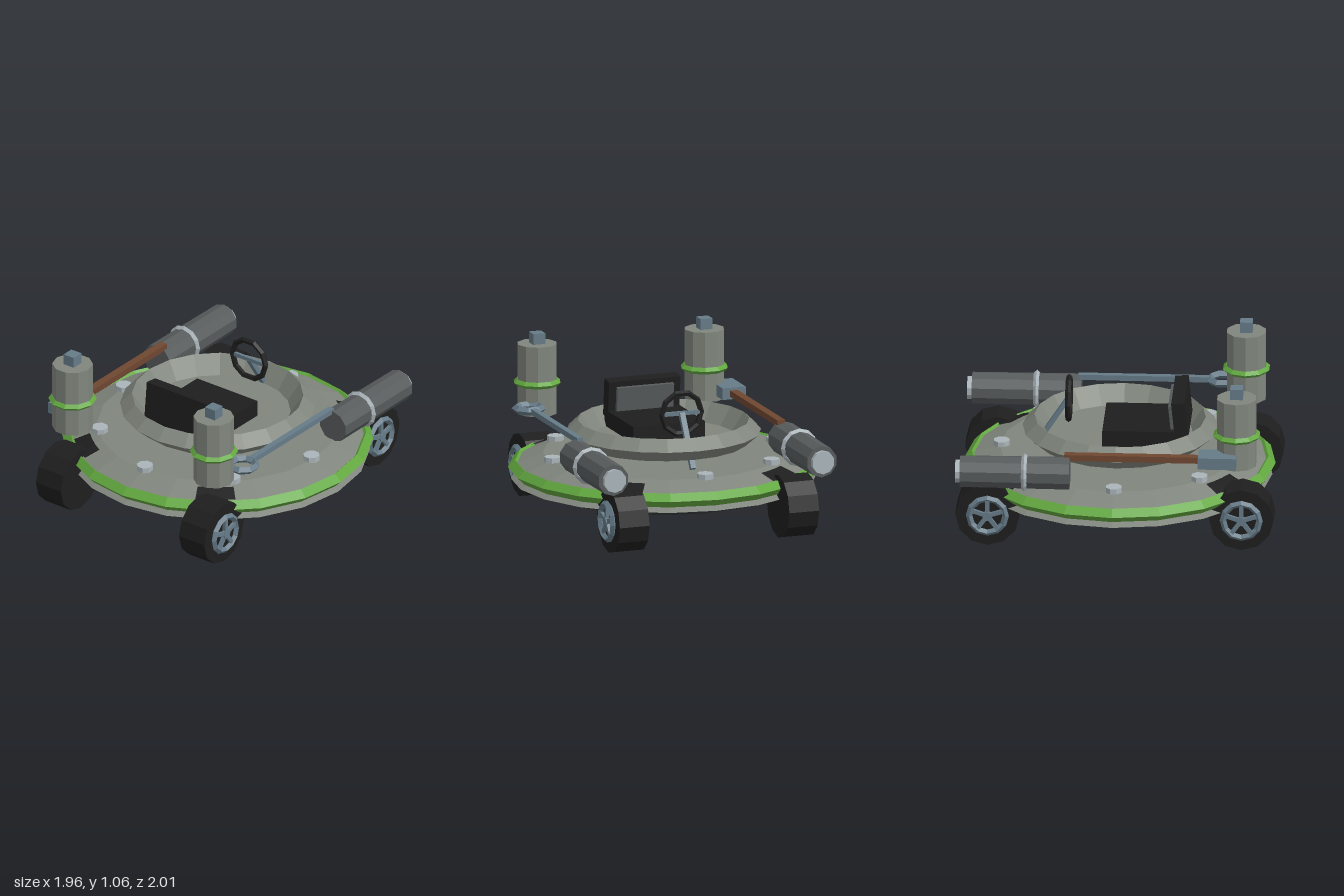
import * as THREE from 'three';

const mat = (name, color) => {
  const m = new THREE.MeshStandardMaterial({ color, flatShading: true });
  m.name = name;
  return m;
};

export function createModel() {
  const root = new THREE.Group();
  root.name = 'saucerBuggy';

  const bodyGrey = mat('bodyGrey', 0x80867d);
  const hullDark = mat('hullDark', 0x3b3f40);
  const green = mat('trimGreen', 0x62a83f);
  const black = mat('rubberBlack', 0x1e1e1e);
  const steel = mat('steelBlue', 0x667b88);
  const gunmetal = mat('gunmetal', 0x575b5c);
  const silver = mat('silver', 0xaab4b9);
  const wood = mat('woodBrown', 0x6f4730);

  const add = (name, geo, material, pos = [0, 0, 0], rot = [0, 0, 0], parent = root) => {
    const m = new THREE.Mesh(geo, material);
    m.name = name;
    m.position.set(...pos);
    m.rotation.set(...rot);
    parent.add(m);
    return m;
  };
  const box = (x, y, z) => new THREE.BoxGeometry(x, y, z);
  const lathe = (pts, start = 0, length = Math.PI * 2, segments = 20) =>
    new THREE.LatheGeometry(pts.map(([x, y]) => new THREE.Vector2(x, y)), segments, start, length);
  // ring with a diamond cross-section, lying flat
  const band = (r, tube, sides) =>
    new THREE.TorusGeometry(r, tube, 4, sides).rotateX(Math.PI / 2);

  // Saucer body
  add('hullUnderside', lathe([[0, 0.18], [0.73, 0.18], [0.96, 0.25]]), hullDark);
  add('saucerDeck', lathe([[0.96, 0.25], [0.9, 0.28], [0.92, 0.355], [0.76, 0.415], [0, 0.415]]), bodyGrey);
  add('rimBand', band(0.935, 0.045, 20), green, [0, 0.325, 0]);

  // Raised cockpit dish
  add('cockpitDish', lathe([
    [0, 0.48], [0.53, 0.48], [0.615, 0.555], [0.54, 0.627], [0.46, 0.51], [0, 0.51],
  ]), bodyGrey);

  // Deck bolts
  for (let i = 0; i < 8; i++) {
    const a = (i * Math.PI) / 4;
    add('deckBolt', new THREE.CylinderGeometry(0.053, 0.053, 0.035, 8), silver,
      [Math.sin(a) * 0.747, 0.428, Math.cos(a) * 0.747], [0, Math.PI / 8, 0]);
  }

  // Seat
  const seat = new THREE.Group();
  seat.name = 'seat';
  root.add(seat);
  add('seatCushion', box(0.48, 0.15, 0.52), black, [0, 0.54, 0.16], [0, 0, 0], seat);
  const back = new THREE.Group();
  back.name = 'seatBack';
  back.position.set(0, 0.69, 0.388);
  back.rotation.x = -0.1;
  seat.add(back);
  add('backrest', box(0.48, 0.24, 0.085), black, [0, 0, 0], [0, 0, 0], back);
  add('backrestPad', box(0.38, 0.17, 0.028), gunmetal, [0, 0, -0.054], [0, 0, 0], back);

  // Steering wheel and column
  const steering = new THREE.Group();
  steering.name = 'steering';
  root.add(steering);
  add('steeringWheel', new THREE.TorusGeometry(0.133, 0.019, 5, 10), black,
    [0, 0.737, -0.323], [0, 0, 0], steering);
  add('steeringSpoke', box(0.25, 0.025, 0.02), steel, [0, 0.737, -0.325], [0, 0, 0], steering);
  add('steeringColumn', box(0.035, 0.375, 0.03), steel,
    [0, 0.58, -0.428], [Math.atan2(0.2, 0.31), 0, 0], steering);

  // Wheels; hubs point outward
  for (const sx of [-1, 1]) for (const sz of [-1, 1]) {
    const wheel = new THREE.Group();
    wheel.name = sz > 0 ? 'frontWheel' : 'rearWheel';
    wheel.position.set(sx * 0.57, 0.203, sz * 0.8);
    wheel.rotation.y = sx > 0 ? 0 : Math.PI;
    root.add(wheel);
    add('tyre', new THREE.CylinderGeometry(0.203, 0.203, 0.2, 12).rotateZ(Math.PI / 2),
      black, [0, 0, 0], [0, 0, 0], wheel);
    add('hubRing', new THREE.TorusGeometry(0.115, 0.021, 4, 12).rotateY(Math.PI / 2),
      steel, [0.11, 0, 0], [0, 0, 0], wheel);
    add('hubCap', new THREE.CylinderGeometry(0.03, 0.03, 0.03, 8).rotateZ(Math.PI / 2),
      steel, [0.113, 0, 0], [0, 0, 0], wheel);
    for (let i = 0; i < 5; i++) {
      add('hubSpoke', box(0.022, 0.11, 0.026).translate(0, 0.055, 0), steel,
        [0.11, 0, 0], [(i * Math.PI * 2) / 5, 0, 0], wheel);
    }
    // dark wheel well let into the deck
    const mid = Math.atan2(sx * 0.6, sz * 0.8);
    add('wheelWell', lathe([[0.91, 0.367], [0.81, 0.404]], mid - 0.14, 0.28, 3), black);
  }

  // Upright canisters at the front, thrusters at the rear
  for (const sx of [-1, 1]) {
    const can = new THREE.Group();
    can.name = 'canister';
    can.position.set(sx * 0.562, 0, 0.765);
    root.add(can);
    add('canisterBody', new THREE.CylinderGeometry(0.128, 0.128, 0.45, 10), bodyGrey,
      [0, 0.765, 0], [0, Math.PI / 2, 0], can);
    add('canisterBand', band(0.131, 0.022, 10), green, [0, 0.742, 0], [0, 0, 0], can);
    add('canisterValve', box(0.08, 0.08, 0.08), steel, [0, 1.02, 0], [0, 0, 0], can);

    const thruster = new THREE.Group();
    thruster.name = 'thruster';
    thruster.position.set(sx * 0.7, 0.51, 0);
    root.add(thruster);
    add('thrusterBody', new THREE.CylinderGeometry(0.106, 0.102, 0.69, 10).rotateX(Math.PI / 2),
      gunmetal, [0, 0, -0.625], [0, 0, 0], thruster);
    add('thrusterBand', new THREE.TorusGeometry(0.105, 0.018, 4, 12), silver,
      [0, 0, -0.565], [0, 0, 0], thruster);
    add('thrusterNozzle', new THREE.CylinderGeometry(0.075, 0.075, 0.04, 10).rotateX(Math.PI / 2),
      silver, [0, 0, -0.98], [0, 0, 0], thruster);
  }

  // Hammer along the right side
  add('hammerHandle', box(0.052, 0.04, 0.86), wood, [-0.673, 0.612, 0.115]);
  add('hammerHead', box(0.155, 0.075, 0.24), steel, [-0.675, 0.612, 0.65]);

  // Ring spanner along the left side
  add('spannerShaft', box(0.04, 0.035, 0.83), steel, [0.675, 0.612, 0.115]);
  add('spannerRing', band(0.083, 0.026, 8), steel, [0.675, 0.612, 0.61], [0, Math.PI / 8, 0]);

  return root;
}
